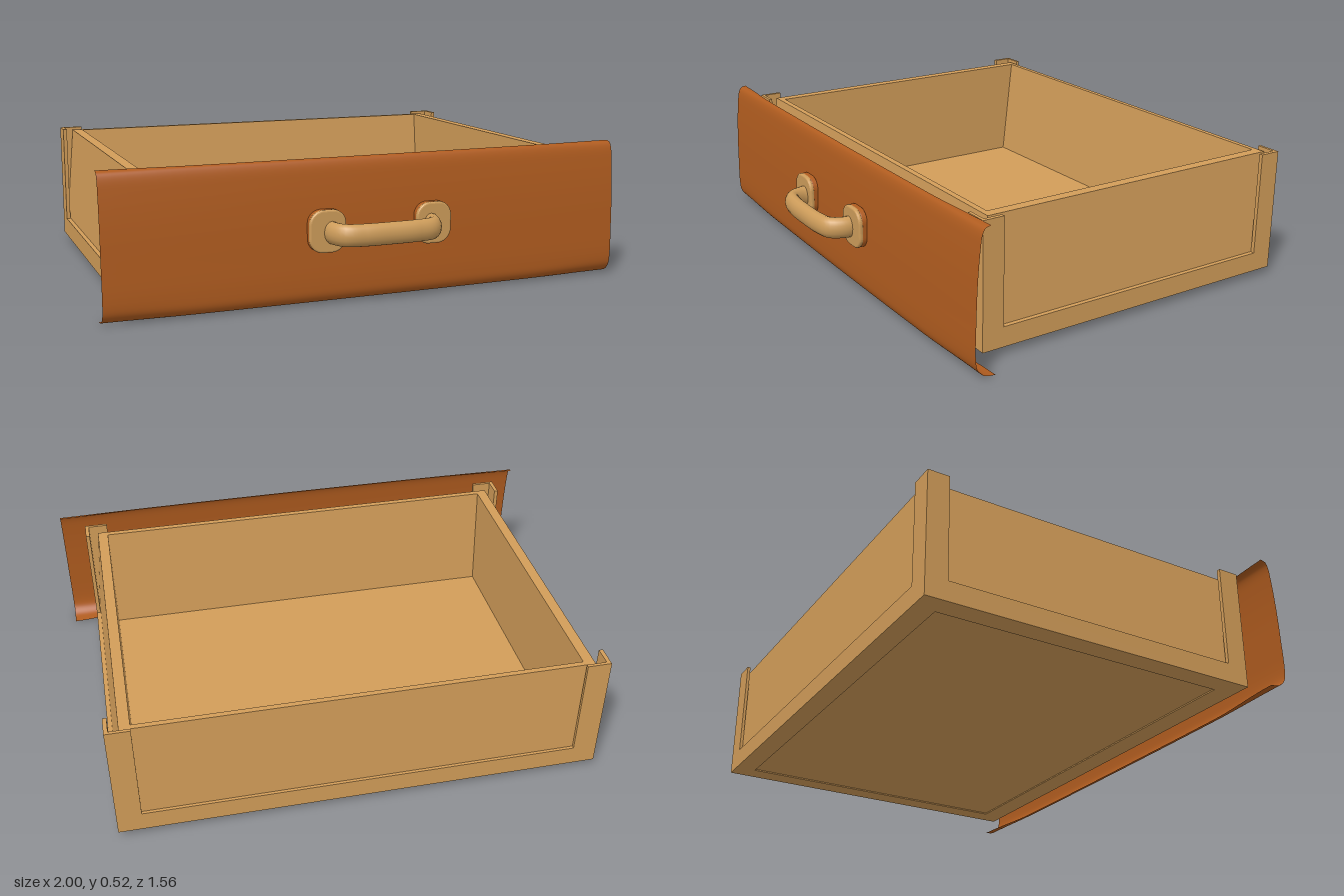
import * as THREE from 'three';

const wood = new THREE.MeshStandardMaterial({ name: 'lightWood', color: 0xd29d59 });
const frontWood = new THREE.MeshStandardMaterial({ name: 'redWood', color: 0xb05c1f, side: THREE.DoubleSide });
const handleWood = new THREE.MeshStandardMaterial({ name: 'handleWood', color: 0xcd9c5a });

const X = 0.9, BACK = -0.78, FRONT = 0.54, BASE = 0.03; // outer limits of the tray

function add(group, name, geometry, material) {
  const mesh = new THREE.Mesh(geometry, material);
  mesh.name = name;
  group.add(mesh);
  return mesh;
}

function polygon(points) {
  return new THREE.Shape(points.map(([x, y]) => new THREE.Vector2(x, y)));
}

// Flat-sided loft through rectangles given as [half width, back z, front z, y]
function loftRectangles(rings) {
  const corners = rings.map(([x, back, front, y]) =>
    [[x, y, front], [x, y, back], [-x, y, back], [-x, y, front]]);
  const positions = [];
  for (let k = 0; k < rings.length - 1; k++) {
    for (let i = 0; i < 4; i++) {
      const j = (i + 1) % 4;
      const [a, b, c, d] = [corners[k][i], corners[k][j], corners[k + 1][j], corners[k + 1][i]];
      positions.push(...a, ...b, ...c, ...a, ...c, ...d);
    }
  }
  const geometry = new THREE.BufferGeometry();
  geometry.setAttribute('position', new THREE.Float32BufferAttribute(positions, 3));
  geometry.computeVertexNormals();
  return geometry;
}

function createTray() {
  const tray = new THREE.Group();
  tray.name = 'tray';

  // Bottom rail running around the tray, with a slightly recessed floor
  const ring = polygon([[-X, -FRONT], [X, -FRONT], [X, -BACK], [-X, -BACK]]);
  ring.holes.push(polygon([[-0.82, -0.45], [-0.82, 0.7], [0.82, 0.7], [0.82, -0.45]]));
  add(tray, 'bottomRail', new THREE.ExtrudeGeometry(ring, { depth: 0.075, bevelEnabled: false })
    .rotateX(-Math.PI / 2).translate(0, BASE, 0), wood);
  add(tray, 'floor', new THREE.BoxGeometry(1.66, 0.035, 1.17).translate(0, 0.0525, -0.125), wood);

  // Walls leaning inwards on the outside: outer foot, outer rim, inner rim, inner foot
  add(tray, 'walls', loftRectangles([
    [0.885, -0.769, 0.529, 0.08],
    [0.85, -0.757, 0.49, 0.49],
    [0.81, -0.737, 0.467, 0.49],
    [0.81, -0.69, 0.43, 0.06],
  ]), wood);

  // Thin L-shaped corner posts standing upright, clear of the leaning walls
  for (const sx of [-1, 1]) {
    for (const sz of [-1, 1]) {
      const outer = sz > 0 ? FRONT : BACK;
      const inner = outer - sz * 0.012;
      const end = outer - sz * 0.083;
      const corner = polygon([[X, -outer], [X, -end], [0.885, -end], [0.885, -inner],
        [0.81, -inner], [0.81, -outer]].map(([x, z]) => [sx * x, z]));
      add(tray, 'cornerPost', new THREE.ExtrudeGeometry(corner, { depth: 0.47, bevelEnabled: false })
        .rotateX(-Math.PI / 2).translate(0, BASE, 0), wood);
    }
  }
  return tray;
}

// Thin bowed front sheet whose top and bottom edges curl back, more so at the ends
function createFrontPanel() {
  const profile = new THREE.CatmullRomCurve3([
    [0.595, 0.006], [0.618, 0.012], [0.634, 0.035], [0.639, 0.08], [0.637, 0.2], [0.632, 0.33],
    [0.623, 0.44], [0.614, 0.5], [0.604, 0.52], [0.592, 0.525],
  ].map(([z, y]) => new THREE.Vector3(0, y, z)));
  const geometry = new THREE.PlaneGeometry(2, 1, 40, 48);
  const pos = geometry.attributes.position;
  for (let i = 0; i < pos.count; i++) {
    const x = pos.getX(i), t = pos.getY(i) + 0.5;
    const p = profile.getPoint(t);
    const flare = THREE.MathUtils.smoothstep(Math.abs(x), 0.65, 1);
    const bottom = Math.max(0, 1 - t / 0.35), top = Math.max(0, (t - 0.8) / 0.2);
    const setBack = 0.008 * x * x + flare * (0.032 * bottom ** 2 + 0.01 * top ** 2);
    pos.setXYZ(i, x, p.y - 0.004 * flare * bottom, p.z - setBack);
  }
  geometry.computeVertexNormals();
  return geometry;
}

// Rosette outline with strongly rounded corners
function rosette(halfWidth, halfHeight, depth, bevel) {
  const r = 0.045, w = halfWidth - bevel - r, h = halfHeight - bevel - r;
  const shape = new THREE.Shape();
  [[w, h], [-w, h], [-w, -h], [w, -h]].forEach(([x, y], i) =>
    shape.absarc(x, y, r, i * Math.PI / 2, (i + 1) * Math.PI / 2));
  return new THREE.ExtrudeGeometry(shape, {
    depth, bevelThickness: bevel, bevelSize: bevel, bevelSegments: 3, curveSegments: 6,
  });
}

function createHandle() {
  const handle = new THREE.Group();
  handle.name = 'handle';
  for (const s of [-1, 1]) {
    add(handle, 'rosetteBacking', rosette(0.068, 0.076, 0.015, 0.004), frontWood).position.set(s * 0.207, 0.274, 0.634);
    add(handle, 'rosette', rosette(0.069, 0.077, 0.004, 0.007), handleWood).position.set(s * 0.207, 0.274, 0.655);
  }
  // Curved bar, taller than it is deep
  const path = new THREE.CatmullRomCurve3([
    [-0.195, 0.64], [-0.19, 0.69], [-0.165, 0.73], [-0.1, 0.745], [0, 0.748],
    [0.1, 0.745], [0.165, 0.73], [0.19, 0.69], [0.195, 0.64],
  ].map(([x, z]) => new THREE.Vector3(x, 0, z)));
  const bar = add(handle, 'handleBar', new THREE.TubeGeometry(path, 48, 0.029, 16), handleWood);
  bar.scale.y = 1.4;
  bar.position.y = 0.27;
  return handle;
}

export function createModel() {
  const model = new THREE.Group();
  model.name = 'drawer';
  model.add(createTray());
  add(model, 'frontPanel', createFrontPanel(), frontWood);
  model.add(createHandle());
  return model;
}
